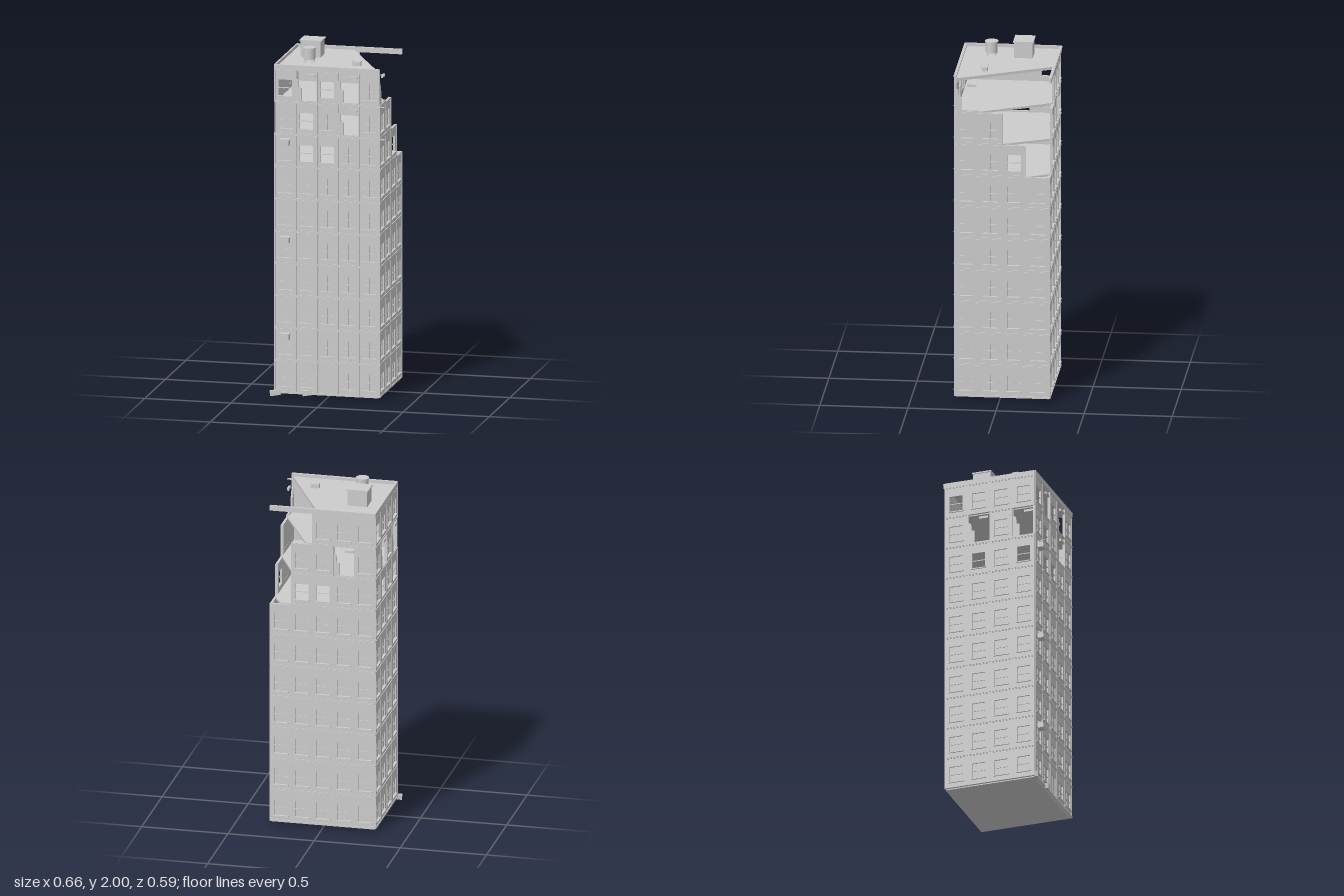
import * as THREE from 'three';

const concrete = new THREE.MeshStandardMaterial({ color: 0xcccccc });
concrete.name = 'concrete';

const BASE = 0.02, FLOOR = 0.187, CZ = -0.015, T = 0.012;
const WIN = { w: 0.078, y0: 0.036, y1: 0.13 };

function add(parent, name, geo, x = 0, y = 0, z = 0) {
  const m = new THREE.Mesh(geo, concrete);
  m.name = name;
  m.position.set(x, y, z);
  parent.add(m);
  return m;
}
const box = (parent, name, w, h, d, x, y, z) => add(parent, name, new THREE.BoxGeometry(w, h, d), x, y, z);

function shapeOf(points) {
  return new THREE.Shape(points.map(([x, y]) => new THREE.Vector2(x, y)));
}
const extrude = (shape, depth) => new THREE.ExtrudeGeometry(shape, { depth, bevelEnabled: false });

// Wall panel with a rectangular opening; its outer face lies at local z = 0
function panelGeometry(w, door) {
  const h = w / 2, a = WIN.w / 2, y0 = door ? 0.004 : WIN.y0;
  const s = shapeOf([[-h, 0], [h, 0], [h, FLOOR], [-h, FLOOR]]);
  s.holes.push(new THREE.Path([[-a, y0], [-a, WIN.y1], [a, WIN.y1], [a, y0]].map(p => new THREE.Vector2(...p))));
  return extrude(s, T).translate(0, 0, -T);
}

// Ragged remainder of a smashed panel
function brokenGeometry(w) {
  const h = w / 2;
  const s = shapeOf([[-h, 0], [h, 0], [h, 0.014], [-0.026, 0.014], [-0.026, 0.085], [-0.042, 0.088],
    [-0.046, 0.13], [-h + 0.006, 0.14], [-h + 0.006, FLOOR], [-h, FLOOR]]);
  return extrude(s, T).translate(0, 0, -T);
}

// One bay: p = glazed, o = glass missing, b = broken, d = door
function makeBay(kind, w, geos) {
  const g = new THREE.Group();
  g.name = 'wallBay';
  add(g, 'wallPanel', kind === 'b' ? geos.broken : kind === 'd' ? geos.door : geos.panel);
  box(g, 'floorBand', w, 0.009, 0.004, 0, 0.0045, 0.002);
  if (kind === 'b') {
    box(g, 'hangingFragment', 0.052, 0.014, 0.012, 0.03, 0.16, -0.004);
    return g;
  }
  box(g, 'lintelBand', w, 0.005, 0.003, 0, FLOOR - 0.0035, 0.0015);
  for (const s of [-1, 1]) {
    box(g, 'pilaster', 0.007, FLOOR - 0.015, 0.003, s * (w / 2 - 0.0035), FLOOR / 2 + 0.0015, 0.0015);
  }
  const y0 = kind === 'd' ? 0.004 : WIN.y0, mid = (y0 + WIN.y1) / 2, wh = WIN.y1 - y0;
  if (kind === 'd') {
    box(g, 'door', WIN.w, wh, 0.004, 0, mid, -0.009);
    box(g, 'doorSplit', 0.004, wh, 0.003, 0, mid, -0.006);
    return g;
  }
  box(g, 'windowSill', WIN.w + 0.01, 0.006, 0.008, 0, y0 - 0.003, 0.003);
  box(g, 'sashBar', WIN.w, 0.005, 0.004, 0, mid, -0.005);
  if (kind === 'p') {
    box(g, 'windowPane', WIN.w, wh, 0.003, 0, mid, -0.0095);
    box(g, 'mullion', 0.004, wh, 0.003, 0, mid, -0.0065);
  }
  return g;
}

// Wall of ten storeys; the last three follow the damage pattern
function makeWall(name, bays, w, dist, angle, damage, first) {
  const wall = new THREE.Group();
  wall.name = name;
  const geos = { panel: panelGeometry(w), broken: brokenGeometry(w), door: panelGeometry(w, true) };
  for (let f = 0; f < 10; f++) {
    const row = f === 0 && first ? first : f < 7 ? 'p'.repeat(bays) : damage[f - 7];
    for (let i = 0; i < bays; i++) {
      if (row[i] === '.') continue;
      const bay = makeBay(row[i], w, geos);
      bay.position.set((i - (bays - 1) / 2) * w, BASE + f * FLOOR, dist);
      wall.add(bay);
    }
  }
  wall.rotation.y = angle;
  wall.position.z = CZ;
  return wall;
}

// Floor slab given by its (x, z) outline, with its top at y
function makeSlab(parent, name, outline, y, t = 0.012) {
  const geo = extrude(shapeOf(outline.map(([x, z]) => [x, -z])), t).rotateX(-Math.PI / 2);
  add(parent, name, geo, 0, y - t, 0);
}

// Thin bent crack strip on the front wall
function makeCrack(parent, points) {
  for (let i = 0; i < points.length - 1; i++) {
    const [x0, y0] = points[i], [x1, y1] = points[i + 1];
    const m = box(parent, 'crack', Math.hypot(x1 - x0, y1 - y0), 0.003, 0.003, (x0 + x1) / 2, (y0 + y1) / 2, 0.256);
    m.rotation.z = Math.atan2(y1 - y0, x1 - x0);
  }
}

export function createModel() {
  const model = new THREE.Group();
  model.name = 'ruinedTower';

  // Outer walls
  const q = Math.PI / 2;
  model.add(
    makeWall('frontWall', 5, 0.122, 0.27, 0, ['poopp', 'popbp', 'obobp'], 'ppdpp'),
    makeWall('leftWall', 4, 0.135, 0.305, q, ['ppo.', 'pp..', 'b...']),
    makeWall('backWall', 5, 0.122, 0.27, 2 * q, ['.oopp', '.ppbp', '..ppp']),
    makeWall('rightWall', 4, 0.135, 0.305, -q, ['popo', 'pbpb', 'oppp']));

  // Floors: whole below, torn along a slanting edge above
  const L = -0.296, R = 0.296, B = -0.278, F = 0.248;
  for (let f = 0; f < 7; f++) makeSlab(model, 'floorSlab', [[L, B], [R, B], [R, F], [L, F]], BASE + f * FLOOR + 0.006);
  const tears = [[0.25, -0.18], [0.175, -0.02], [0.1, 0.115]];
  tears.forEach(([x, z], i) => makeSlab(model, 'tornFloor',
    [[L, B], [x, B], [0.302, z], [0.302, F], [L, F]], BASE + (7 + i) * FLOOR + 0.006));
  const roofY = BASE + 10 * FLOOR + 0.012;
  makeSlab(model, 'roof', [[-0.3, -0.282], [0.03, -0.282], [0.3, 0.25], [-0.3, 0.25]], roofY, 0.016);

  // Roof parapet on three sides
  for (const z of [-0.287, 0.253]) {
    box(model, 'parapet', 0.612, 0.03, 0.013, 0, 1.905, z);
    box(model, 'parapetCap', 0.612, 0.006, 0.017, 0, 1.914, z);
  }
  box(model, 'parapet', 0.01, 0.03, 0.54, -0.303, 1.905, CZ);

  // Stair house
  box(model, 'stairHouse', 0.115, 0.095, 0.105, -0.167, 1.945, -0.093);
  box(model, 'stairHouseRoof', 0.127, 0.008, 0.115, -0.167, 1.996, -0.093);

  // Water tank on legs
  const tank = new THREE.Group();
  tank.name = 'waterTank';
  tank.position.set(-0.142, 0, 0.09);
  add(tank, 'tankBody', new THREE.CylinderGeometry(0.034, 0.034, 0.06, 16), 0, 1.953, 0);
  add(tank, 'tankLid', new THREE.CylinderGeometry(0.038, 0.038, 0.008, 16), 0, 1.986, 0);
  for (const x of [-1, 1]) for (const z of [-1, 1]) {
    box(tank, 'tankLeg', 0.005, 0.03, 0.005, x * 0.021, 1.912, z * 0.021);
  }
  model.add(tank);

  // Roof vent unit
  box(model, 'roofVent', 0.05, 0.026, 0.03, 0.135, 1.914, 0.1);
  for (const z of [0.083, 0.118]) box(model, 'ventRail', 0.06, 0.004, 0.003, 0.135, 1.925, z);

  // Air conditioners on the front
  for (const y of [0.35, 0.91, 1.475]) {
    box(model, 'airConditioner', 0.05, 0.034, 0.034, -0.24, y, 0.272);
    box(model, 'airConditionerLid', 0.058, 0.004, 0.036, -0.24, y + 0.018, 0.273);
    box(model, 'airConditionerGrille', 0.03, 0.016, 0.003, -0.24, y, 0.29);
  }

  // Rubble at the foot of the wall
  [[-0.3, 0.02, 0.262, 0.06, 0.3], [-0.115, 0.028, 0.26, 0.055, 0.25]].forEach(([x, y, z, w, a]) => {
    const m = box(model, 'rubble', w, 0.03, 0.02, x, y, z);
    m.rotation.set(0, a, 0.12);
  });

  // Bent bars sticking out of the torn floors
  for (const f of [8, 9, 10]) for (const z of [0.235, 0.243, 0.25]) {
    box(model, 'reinforcingBar', 0.035, 0.003, 0.003, 0.313, BASE + f * FLOOR - 0.004, z);
  }

  // Drainpipe and cracks
  add(model, 'drainpipe', new THREE.CylinderGeometry(0.002, 0.002, 1.86, 6), -0.048, 0.95, 0.258);
  makeCrack(model, [[-0.09, 0.2], [-0.07, 0.15], [-0.055, 0.14], [-0.045, 0.12]]);
  makeCrack(model, [[0.09, 0.27], [0.115, 0.26], [0.105, 0.245], [0.14, 0.228]]);
  makeCrack(model, [[-0.27, 0.065], [-0.25, 0.045], [-0.225, 0.025]]);
  return model;
}
